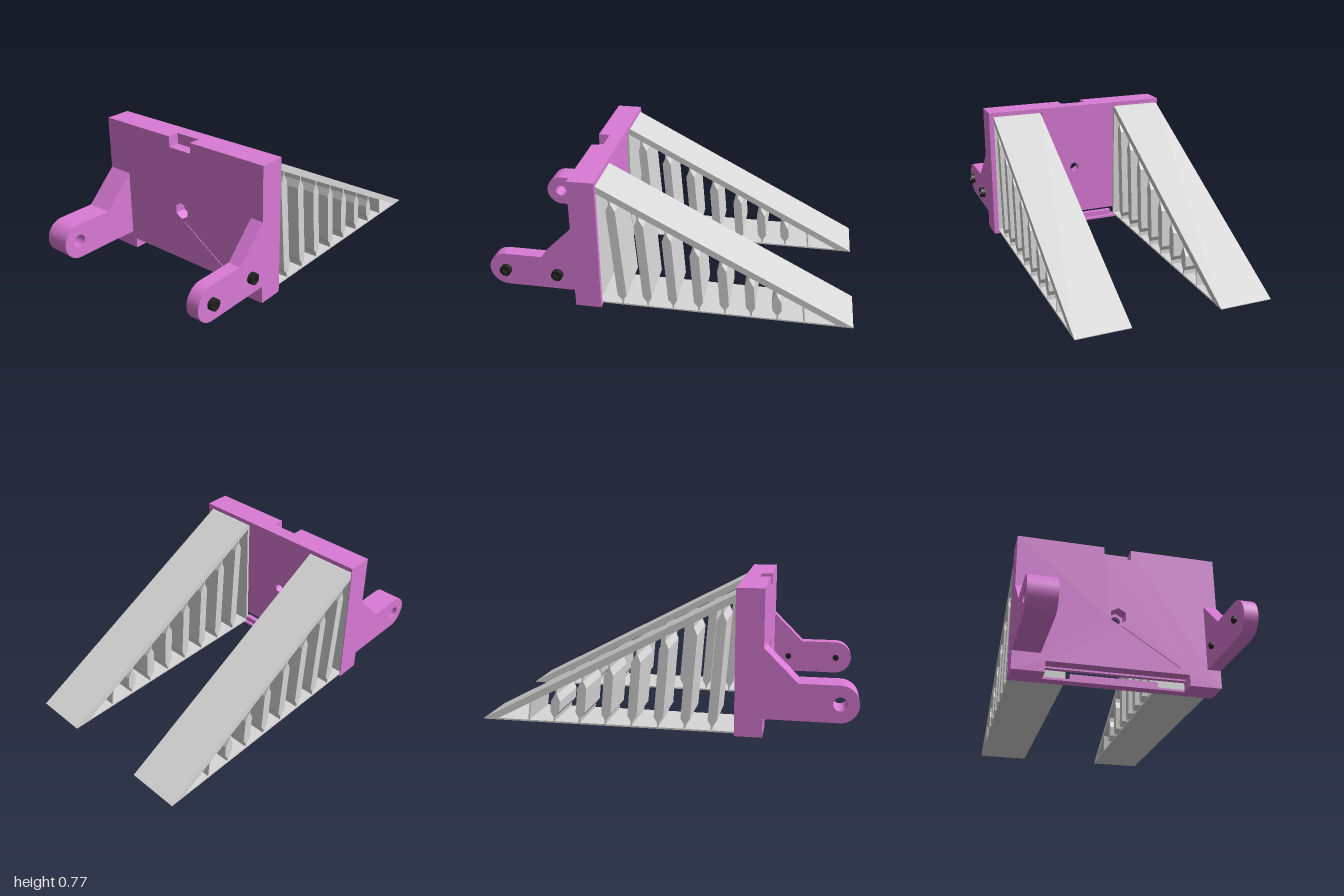
import * as THREE from 'three';

const mat = (name, color) => {
  const m = new THREE.MeshStandardMaterial({ color });
  m.name = name;
  return m;
};

const poly = (pts) => new THREE.Shape(pts.map(([a, b]) => new THREE.Vector2(a, b)));

const circle = (x, y, r) => new THREE.Path().absarc(x, y, r, 0, Math.PI * 2, true);

// Front-facing slab: shape in (x, y), spanning z0..z1
function slab(shape, z0, z1) {
  const g = new THREE.ExtrudeGeometry(shape, { depth: z1 - z0, bevelEnabled: false, curveSegments: 20 });
  return g.translate(0, 0, z0);
}

// Side profile: shape in (-z, y), spanning x0..x1
function profile(shape, x0, x1) {
  const g = new THREE.ExtrudeGeometry(shape, { depth: x1 - x0, bevelEnabled: false, curveSegments: 20 });
  return g.rotateY(Math.PI / 2).translate(x0, 0, 0);
}

// Polygon given as (z, y) pairs
const side = (pts) => poly(pts.map(([z, y]) => [-z, y]));

export function createModel() {
  const root = new THREE.Group();
  const orchid = mat('orchid', 0xda7ad6);
  const grey = mat('light grey', 0xd8d8d8);
  const black = mat('black', 0x222222);

  const add = (parent, name, geo, material) => {
    const m = new THREE.Mesh(geo, material);
    m.name = name;
    parent.add(m);
    return m;
  };

  // ---- Mounting plate, in three layers ----
  const L = -0.565, R = 0.535, H = 0.77;
  const hx = -0.017, hy = 0.357;
  const plate = new THREE.Group();
  plate.name = 'mountingPlate';
  root.add(plate);

  const bottomNotch = (top) => [[L, 0], [-0.395, 0], [-0.395, top], [0.362, top], [0.362, 0], [R, 0]];

  // front layer: top notch, hexagonal nut recess and fine diagonal slit
  const front = poly([...bottomNotch(0.06), [R, H], [0.058, H], [0.058, 0.71], [-0.09, 0.71], [-0.09, H], [L, H]]);
  const hex = [];
  for (let i = 0; i < 6; i++) {
    const a = Math.PI / 2 - i * Math.PI / 3;
    hex.push([hx + 0.047 * Math.cos(a), hy + 0.047 * Math.sin(a)]);
  }
  front.holes.push(poly(hex));
  front.holes.push(poly([[0.0, 0.297], [0.002, 0.3], [0.312, 0.097], [0.31, 0.094]]));
  add(plate, 'frontPanel', slab(front, 0.455, 0.52), orchid);

  // middle layer with the round bolt hole
  const middle = poly([...bottomNotch(0.05), [R, H], [L, H]]);
  middle.holes.push(circle(hx, hy, 0.027));
  add(plate, 'middlePanel', slab(middle, 0.43, 0.455), orchid);

  // open rim that holds the ramps
  const rim = poly([[L, 0], [R, 0], [R, H], [L, H]]);
  rim.holes.push(poly([[-0.561, 0.012], [-0.561, 0.745], [0.507, 0.745], [0.507, 0.012]]));
  add(plate, 'backRim', slab(rim, 0.375, 0.43), orchid);

  // thicker strip behind the top notch, and the lower spacer bar
  const box = (x0, x1, y0, y1, z0, z1) =>
    new THREE.BoxGeometry(x1 - x0, y1 - y0, z1 - z0).translate((x0 + x1) / 2, (y0 + y1) / 2, (z0 + z1) / 2);
  add(plate, 'topStiffener', box(-0.26, 0.205, 0.67, 0.75, 0.39, 0.435), orchid);
  add(plate, 'spacerBar', box(-0.25, 0.22, 0.015, 0.045, 0.39, 0.42), orchid);

  // ---- Hinge arms ----
  const armShape = (holes) => {
    const s = new THREE.Shape();
    s.moveTo(-0.52, 0.1);
    s.lineTo(-0.52, 0.47);
    s.lineTo(-0.695, 0.295);
    s.lineTo(-0.9025, 0.295);
    s.absarc(-0.9025, 0.1975, 0.0975, Math.PI / 2, Math.PI * 1.5, false);
    s.lineTo(-0.52, 0.1);
    holes.forEach(([z, r]) => s.holes.push(circle(-z, 0.198, r)));
    return s;
  };
  add(root, 'wideHingeArm', profile(armShape([[0.905, 0.036]]), L, -0.42), orchid);
  add(root, 'narrowHingeArm', profile(armShape([]), 0.462, R), orchid);

  // ---- Screws through the narrow arm ----
  for (const z of [0.905, 0.61]) {
    const screw = new THREE.Group();
    screw.name = 'screw';
    screw.position.set(0, 0.198, z);
    root.add(screw);
    const head = new THREE.Shape();
    head.absarc(0, 0, 0.031, 0, Math.PI * 2, false);
    const socket = [];
    for (let i = 0; i < 6; i++) socket.push([0.015 * Math.cos(-i * Math.PI / 3), 0.015 * Math.sin(-i * Math.PI / 3)]);
    head.holes.push(poly(socket));
    add(screw, 'screwHead', profile(head, R, 0.562), black);
    const rod = (r, x0, x1) =>
      new THREE.CylinderGeometry(r, r, x1 - x0, 20).rotateZ(Math.PI / 2).translate((x0 + x1) / 2, 0, 0);
    add(screw, 'screwShank', rod(0.014, 0.443, 0.545), black);
    add(screw, 'screwThread', rod(0.018, 0.447, 0.457), black);
  }

  // ---- Ramps ----
  const ribShape = (zt, yt, zb, yb) => {
    const h = yt - yb;
    // [distance up, half width] along the slanted centre line
    const steps = h < 0.13
      ? [[0, 0.004], [h, 0.004]]
      : [[0, 0.004], [0.025, 0.005], [0.055, 0.025], [h - 0.07, 0.025], [h - 0.03, 0.005], [h, 0.004]];
    const pt = (s) => ([d, w]) => [zb + (zt - zb) * d / h + s * w, yb + d];
    return side([...steps.map(pt(1)), ...steps.map(pt(-1)).reverse()]);
  };

  for (const [name, x0, x1] of [['rightRamp', -0.56, -0.27], ['leftRamp', 0.215, 0.506]]) {
    const ramp = new THREE.Group();
    ramp.name = name;
    root.add(ramp);
    add(ramp, 'rampDeck', profile(side([[0.4, 0.742], [0.375, 0.737], [-1, 0.017], [-1, 0.013], [-0.92, 0.018], [0.4, 0.71]]), x0, x1), grey);
    add(ramp, 'rampFloor', profile(side([[0.4, 0.013], [0.4, 0.022], [-0.92, 0.022], [-1, 0.013]]), x0, x1), grey);
    add(ramp, 'rampEndWall', profile(side([[0.4, 0.013], [0.4, 0.73], [0.386, 0.71], [0.386, 0.013]]), x0, x1), grey);
    // leaning ribs with thin necks, shrinking toward the tip
    for (let i = 0; i < 8; i++) {
      const zt = 0.31 - 0.148 * i;
      const yt = 0.668 - 0.5243 * (0.31 - zt);
      add(ramp, 'rampRib', profile(ribShape(zt, yt, 0.257 - 0.1425 * i, 0.02), x0 + 0.003, x1 - 0.003), grey);
    }
  }
  return root;
}
